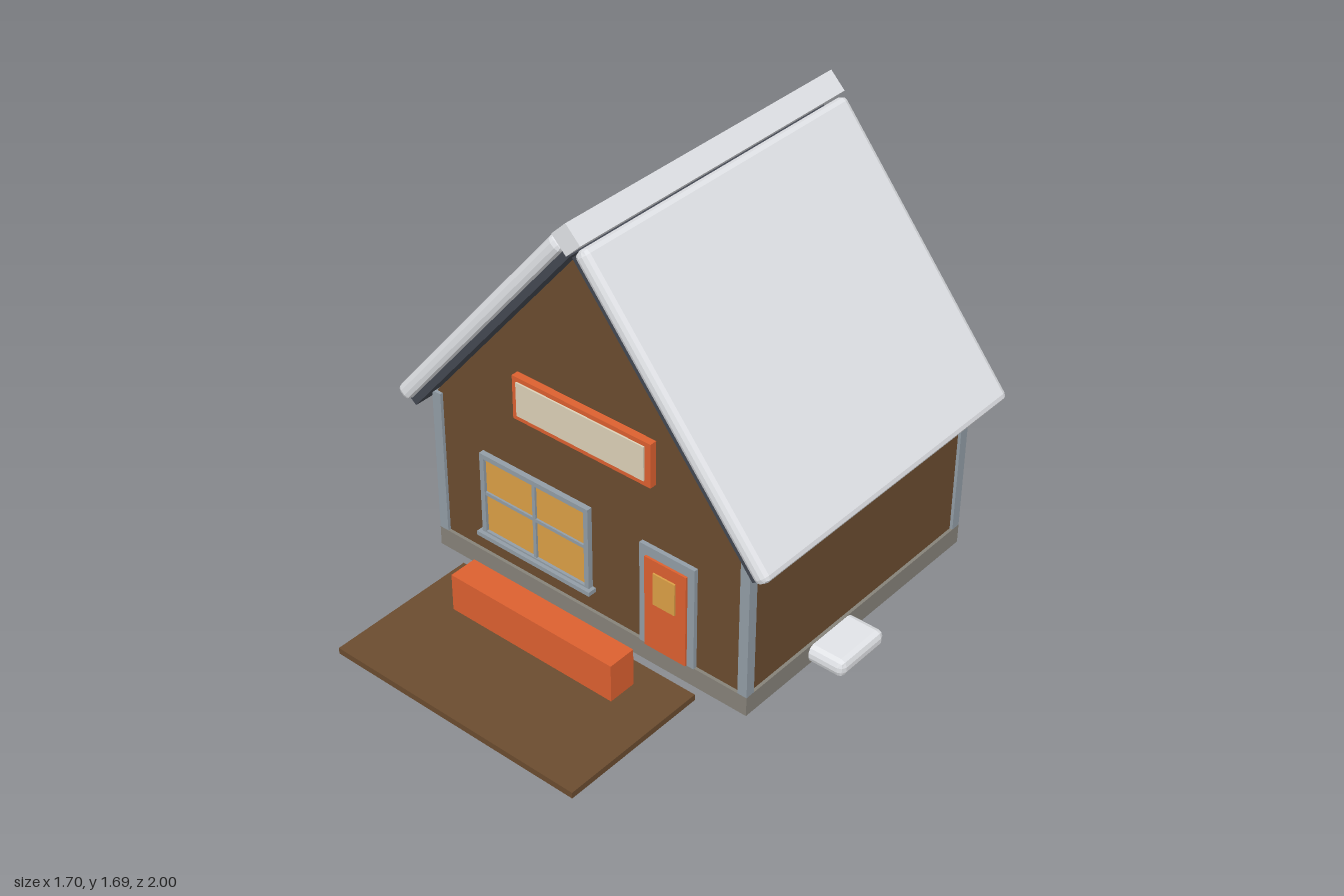
import * as THREE from 'three';
import { RoundedBoxGeometry } from 'three/addons/geometries/RoundedBoxGeometry.js';

const mat = (name, color) => {
  const m = new THREE.MeshStandardMaterial({ color });
  m.name = name;
  return m;
};

export function createModel() {
  const group = new THREE.Group();
  const brown = mat('brown wood', 0x6b4c2f);
  const orange = mat('orange paint', 0xdc6030);
  const amber = mat('amber glass', 0xdb9f46);
  const cream = mat('cream panel', 0xdcd1b7);
  const trim = mat('grey blue trim', 0x929da6);
  const stone = mat('foundation stone', 0x868279);
  const slate = mat('dark roof', 0x434852);
  const snow = mat('snow', 0xe3e5e9);

  const CX = -0.02; // house axis
  const FRONT = 0.305, BACK = -0.92; // wall planes
  const PITCH = THREE.MathUtils.degToRad(50.5);

  const add = (name, geometry, material, x = 0, y = 0, z = 0) => {
    const mesh = new THREE.Mesh(geometry, material);
    mesh.name = name;
    mesh.position.set(x, y, z);
    group.add(mesh);
    return mesh;
  };
  // box from its minimum and maximum on each axis
  const box = (name, material, x0, x1, y0, y1, z0, z1) =>
    add(name, new THREE.BoxGeometry(x1 - x0, y1 - y0, z1 - z0), material,
      (x0 + x1) / 2, (y0 + y1) / 2, (z0 + z1) / 2);
  // box with faceted, chamfered edges
  const chamferBox = (w, h, d, r) => {
    const g = new RoundedBoxGeometry(w, h, d, 1, r);
    g.computeVertexNormals();
    return g;
  };
  // rectangular frame with an open middle
  const frame = (name, material, x0, x1, y0, y1, z0, z1, t) => {
    const rect = (S, a, b, c, d) => new S([[a, c], [b, c], [b, d], [a, d]].map(p => new THREE.Vector2(...p)));
    const s = rect(THREE.Shape, x0, x1, y0, y1);
    s.holes.push(rect(THREE.Path, x0 + t, x1 - t, y0 + t, y1 - t));
    add(name, new THREE.ExtrudeGeometry(s, { depth: z1 - z0, bevelEnabled: false }), material, 0, 0, z0);
  };

  // foundation and gabled body
  box('foundation', stone, CX - 0.7225, CX + 0.7225, 0, 0.08, -0.934, 0.318);
  const gable = new THREE.Shape([[-0.71, 0.08], [0.71, 0.08], [0.71, 0.69], [0, 1.55], [-0.71, 0.69]]
    .map(p => new THREE.Vector2(...p)));
  add('walls', new THREE.ExtrudeGeometry(gable, { depth: FRONT - BACK, bevelEnabled: false }), brown, CX, 0, BACK);

  // corner posts, roof slabs and snow, mirrored
  for (const s of [-1, 1]) {
    for (const z of [0.298, -0.914])
      add('cornerPost', new THREE.BoxGeometry(0.04, 0.61, 0.04), trim, CX + s * 0.7025, 0.385, z);
    add('roofSlab', new THREE.BoxGeometry(1.195, 0.045, 1.335), slate, CX + s * 0.402, 1.104, -0.307)
      .rotation.z = -s * PITCH;
    add('roofSnow', chamferBox(1.217, 0.064, 1.379, 0.022), snow, CX + s * 0.4325, 1.127, -0.307)
      .rotation.z = -s * PITCH;
  }
  add('ridgeSnow', new THREE.BoxGeometry(0.087, 0.087, 1.379), snow, CX, 1.624, -0.307)
    .rotation.z = Math.PI / 4;

  // front window
  frame('windowFrame', trim, -0.513, 0, 0.17, 0.53, 0.3, 0.327, 0.02);
  box('windowGlass', amber, -0.495, -0.018, 0.185, 0.512, 0.3, 0.315);
  box('windowMullion', trim, -0.264, -0.25, 0.185, 0.512, 0.31, 0.324);
  box('windowCrossbar', trim, -0.495, -0.018, 0.35, 0.364, 0.31, 0.323);
  box('windowSill', trim, -0.527, 0.014, 0.165, 0.183, 0.3, 0.342);

  // front door
  box('doorFrame', trim, 0.23, 0.473, 0.08, 0.51, 0.3, 0.322);
  box('door', orange, 0.26, 0.443, 0.082, 0.47, 0.315, 0.331);
  box('doorGlass', amber, 0.302, 0.399, 0.286, 0.42, 0.329, 0.338);

  // sign board
  box('signFrame', orange, -0.329, 0.29, 0.77, 0.948, 0.3, 0.334);
  box('signPanel', cream, -0.307, 0.265, 0.792, 0.93, 0.332, 0.341);

  // deck, planter and side block
  box('deck', brown, -0.568, 0.527, 0.01, 0.035, 0.378, 1);
  box('planter', orange, -0.391, 0.352, 0.06, 0.215, 0.495, 0.61);
  add('sideSnowBlock', chamferBox(0.25, 0.07, 0.25, 0.025), snow, 0.723, 0.043, -0.152);

  return group;
}
